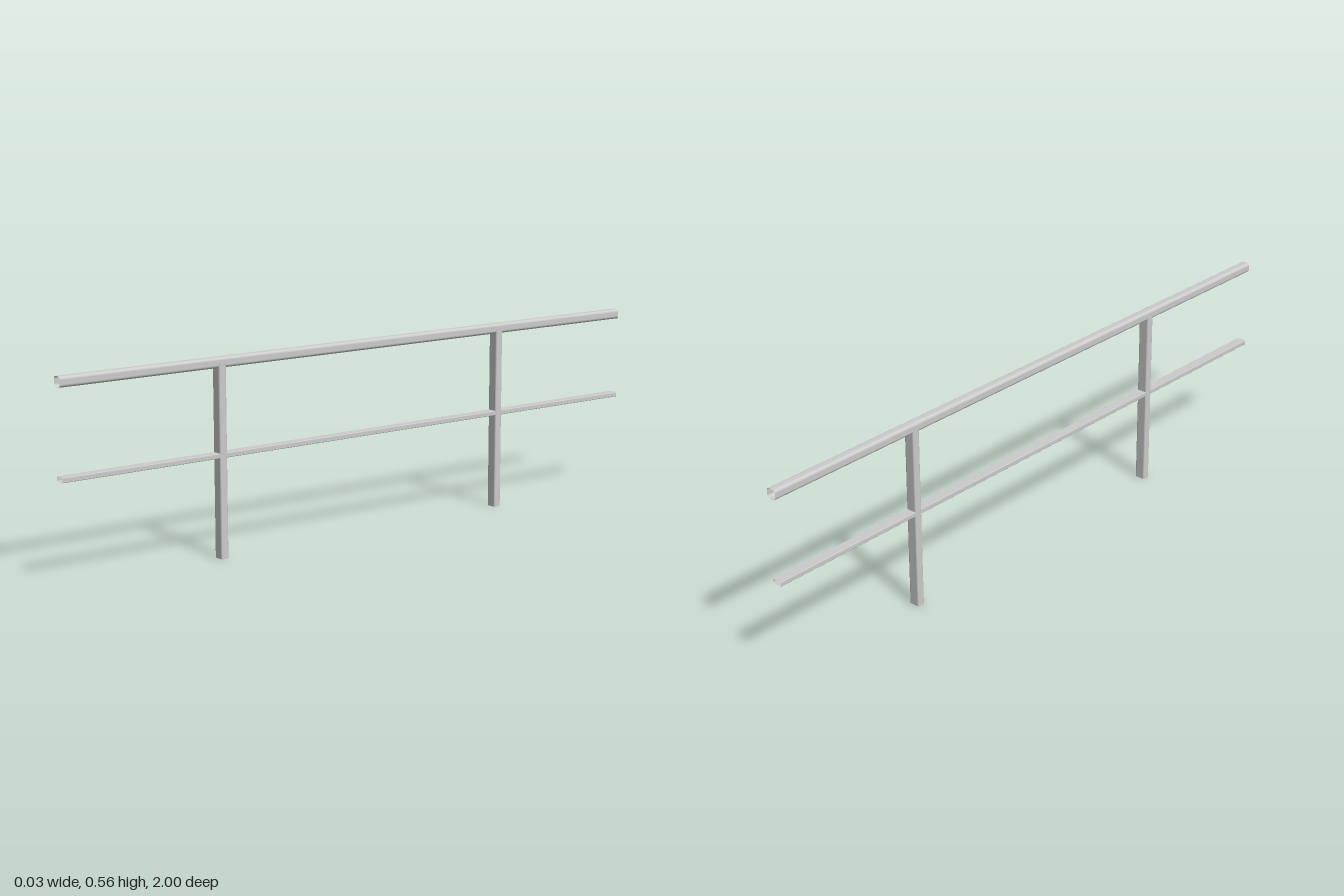
import * as THREE from 'three';

const material = new THREE.MeshStandardMaterial({ color: 0xcccccc, side: THREE.DoubleSide });

// Open-ended hollow section along z: a rounded rectangle w by h, with smooth corners
function sectionTube(w, h, radius, length, steps = 4) {
  const positions = [], normals = [], indices = [];
  for (let corner = 0; corner < 4; corner++) {
    const sx = corner === 0 || corner === 3 ? 1 : -1;
    const sy = corner < 2 ? 1 : -1;
    for (let i = 0; i <= steps; i++) {
      const a = (corner + i / steps) * Math.PI / 2;
      const nx = Math.cos(a), ny = Math.sin(a);
      const x = sx * (w / 2 - radius) + nx * radius;
      const y = sy * (h / 2 - radius) + ny * radius;
      for (const z of [-length / 2, length / 2]) {
        positions.push(x, y, z);
        normals.push(nx, ny, 0);
      }
    }
  }
  const count = positions.length / 6;
  for (let i = 0; i < count; i++) {
    const a = 2 * i, b = 2 * ((i + 1) % count);
    indices.push(a, b, b + 1, a, b + 1, a + 1);
  }
  const geometry = new THREE.BufferGeometry();
  geometry.setAttribute('position', new THREE.Float32BufferAttribute(positions, 3));
  geometry.setAttribute('normal', new THREE.Float32BufferAttribute(normals, 3));
  geometry.setIndex(indices);
  return geometry;
}

export function createModel() {
  const group = new THREE.Group();
  group.name = 'railing';

  const add = (name, geometry, y, z = 0) => {
    const mesh = new THREE.Mesh(geometry, material);
    mesh.name = name;
    mesh.position.set(0, y, z);
    group.add(mesh);
  };

  // Handrail and thin middle rail
  add('handrail', sectionTube(0.03, 0.03, 0.009, 2), 0.548);
  add('middleRail', sectionTube(0.03, 0.014, 0.002, 2), 0.291);

  // Posts, ending inside the handrail
  const postHeight = 0.548;
  const post = sectionTube(0.034, 0.024, 0.005, postHeight).rotateX(-Math.PI / 2);
  add('frontPost', post, postHeight / 2, 0.5);
  add('backPost', post, postHeight / 2, -0.5);

  return group;
}
